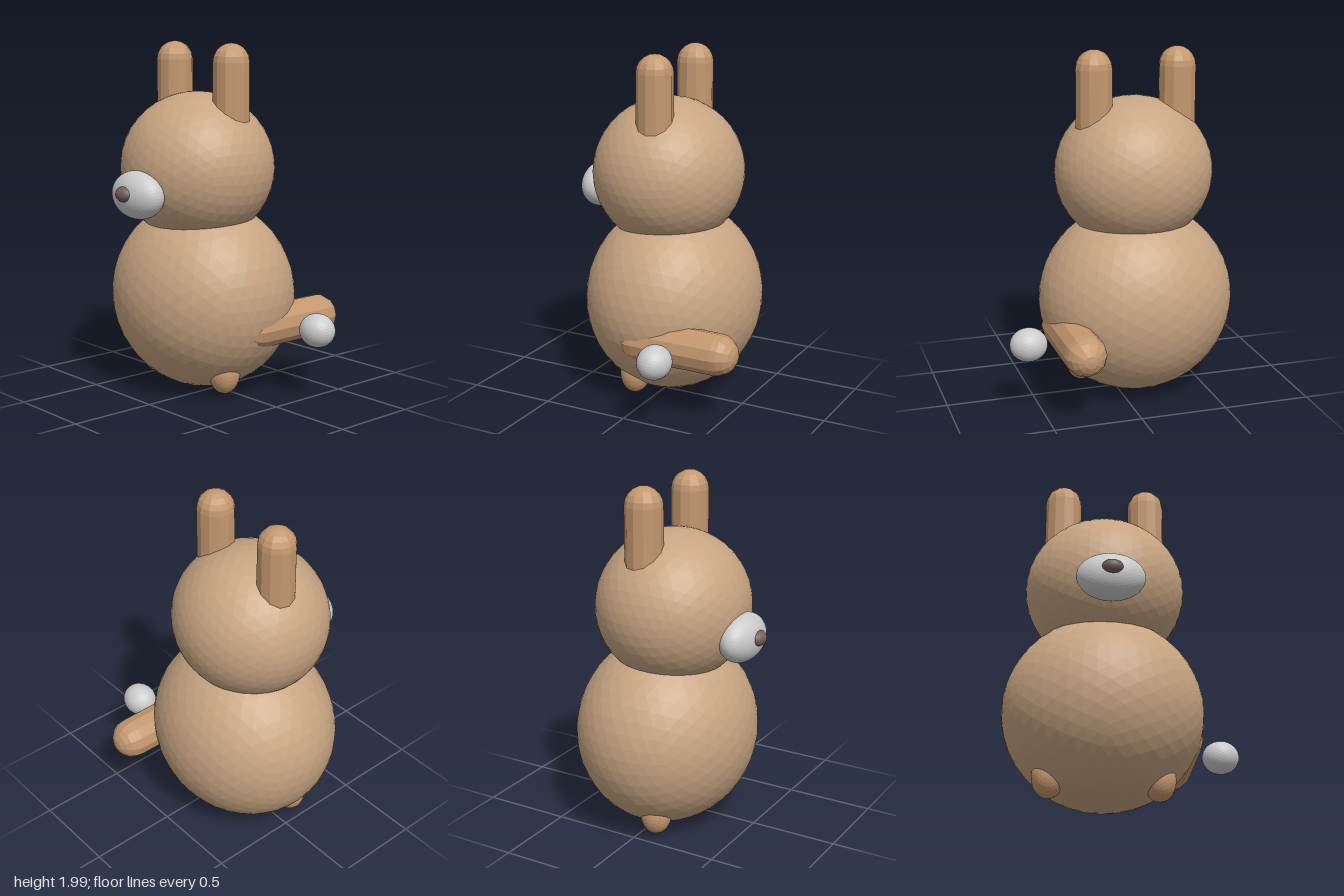
import * as THREE from 'three';

const CX = -0.12; // centre line of the animal

const mat = (color) => new THREE.MeshStandardMaterial({ color, flatShading: true });

export function createModel() {
  const model = new THREE.Group();
  const fur = mat(0xc8a582);
  const limbFur = mat(0xc4986f);
  const grey = mat(0xcccccc);
  const dark = mat(0x70605c);

  const add = (name, geometry, material, position) => {
    const mesh = new THREE.Mesh(geometry, material);
    mesh.name = name;
    mesh.position.set(...position);
    model.add(mesh);
    return mesh;
  };
  // faceted ellipsoid with the given half sizes
  const ellipsoid = (name, material, position, radii, detail = 7) =>
    add(name, new THREE.IcosahedronGeometry(1, detail).scale(...radii), material, position);

  // body and head
  ellipsoid('body', fur, [CX, 0.56, 0], [0.563, 0.55, 0.503]);
  ellipsoid('head', fur, [CX, 1.295, 0.04], [0.452, 0.43, 0.432]);

  // face
  ellipsoid('muzzle', grey, [CX, 1.175, 0.47], [0.19, 0.135, 0.11]);
  ellipsoid('nose', dark, [CX, 1.187, 0.56], [0.06, 0.045, 0.05], 4);

  // paired ears and feet
  for (const [side, s] of [['left', 1], ['right', -1]]) {
    add(side + 'Ear', new THREE.CapsuleGeometry(0.105, 0.36, 5, 12), limbFur,
      [CX + s * 0.243, 1.715, 0]);
    ellipsoid(side + 'Foot', limbFur, [CX + s * 0.3, 0.155, 0.1], [0.09, 0.12, 0.088], 4);
  }

  // tail lying along the left flank and pointing back
  add('tail', new THREE.CapsuleGeometry(0.118, 0.49, 5, 12).rotateX(Math.PI / 2), limbFur,
    [0.32, 0.422, -0.247]);

  // separate tail puff beside it
  ellipsoid('tailPuff', grey, [0.575, 0.42, -0.24], [0.106, 0.095, 0.095], 5);

  return model;
}
